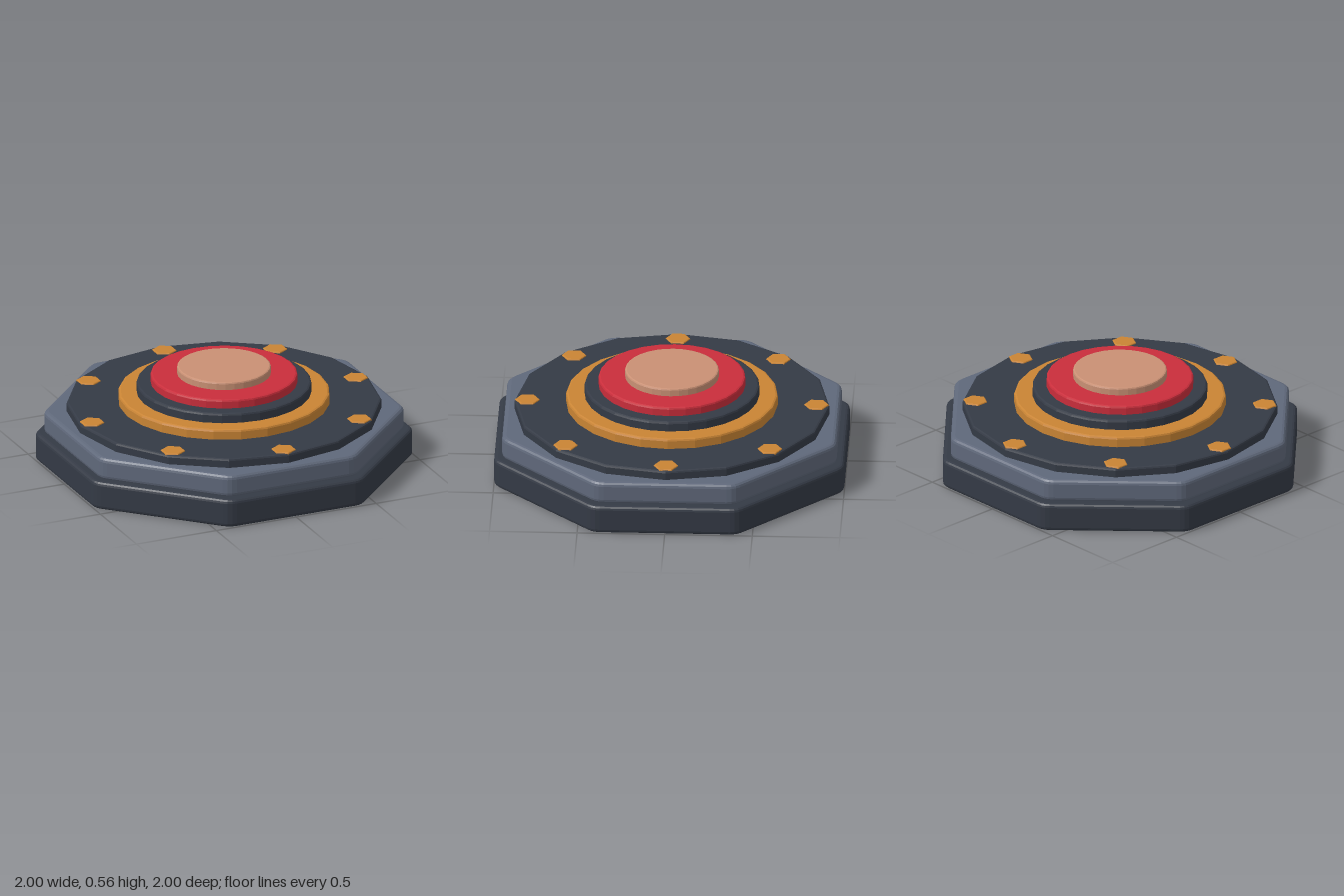
import * as THREE from 'three';

const mat = (name, color) => {
  const m = new THREE.MeshStandardMaterial({ color, flatShading: true });
  m.name = name;
  return m;
};

// Octagon with softened corners and rounded rims, flat sides facing the axes
function octagonSlab(apothem, y0, y1, bevel) {
  const a = apothem - bevel;
  const radius = a / Math.cos(Math.PI / 8);
  const cut = 0.035;
  const corners = Array.from({ length: 8 }, (_, i) => {
    const t = Math.PI / 8 + i * Math.PI / 4;
    return new THREE.Vector2(radius * Math.cos(t), radius * Math.sin(t));
  });
  const shape = new THREE.Shape();
  corners.forEach((c, i) => {
    const toward = (o) => c.clone().add(o.clone().sub(c).setLength(cut));
    const p = toward(corners[(i + 7) % 8]);
    const q = toward(corners[(i + 1) % 8]);
    if (i) shape.lineTo(p.x, p.y);
    else shape.moveTo(p.x, p.y);
    shape.quadraticCurveTo(c.x, c.y, q.x, q.y);
  });
  const g = new THREE.ExtrudeGeometry(shape, {
    depth: y1 - y0 - 2 * bevel, bevelThickness: bevel, bevelSize: bevel,
    bevelSegments: 3, curveSegments: 3,
  });
  return g.rotateX(-Math.PI / 2).translate(0, y0 + bevel, 0);
}

// Round disc with rounded rims, closed top and bottom
function disc(radius, y0, y1, sides, bevel) {
  const pts = [new THREE.Vector2(0, y0)];
  for (const [cy, start] of [[y0 + bevel, -Math.PI / 2], [y1 - bevel, 0]]) {
    for (let i = 0; i <= 2; i++) {
      const t = start + i * Math.PI / 4;
      pts.push(new THREE.Vector2(radius - bevel + bevel * Math.cos(t), cy + bevel * Math.sin(t)));
    }
  }
  pts.push(new THREE.Vector2(0, y1));
  return new THREE.LatheGeometry(pts, sides);
}

export function createModel() {
  const model = new THREE.Group();
  model.name = 'floorPad';
  const dark = mat('dark steel', 0x343a45);
  const slate = mat('slate', 0x5f687a);
  const gold = mat('brass', 0xc98434);
  const red = mat('red', 0xc92d3b);
  const tan = mat('copper', 0xc99074);

  const add = (name, geometry, material, parent = model) => {
    const m = new THREE.Mesh(geometry, material);
    m.name = name;
    parent.add(m);
    return m;
  };

  // Octagonal foundation
  add('base', octagonSlab(1, 0, 0.167, 0.022), dark);
  add('upperBase', octagonSlab(0.955, 0.165, 0.297, 0.025), slate);

  // Stacked round tiers
  add('boltPlate', disc(0.9, 0.28, 0.35, 16, 0.012), dark);
  add('outerRing', disc(0.605, 0.335, 0.41, 24, 0.013), gold);
  add('collar', disc(0.5, 0.395, 0.468, 28, 0.013), dark);
  add('redTier', disc(0.42, 0.455, 0.52, 28, 0.012), red);
  add('centreCap', disc(0.268, 0.508, 0.565, 32, 0.01), tan);

  // Ring of eight hexagonal bolts
  const bolts = new THREE.Group();
  bolts.name = 'bolts';
  model.add(bolts);
  const boltGeometry = disc(0.071, 0.315, 0.357, 6, 0.008);
  for (let i = 0; i < 8; i++) {
    const t = i * Math.PI / 4;
    add('bolt', boltGeometry, gold, bolts).position.set(0.825 * Math.sin(t), 0, 0.825 * Math.cos(t));
  }
  return model;
}
